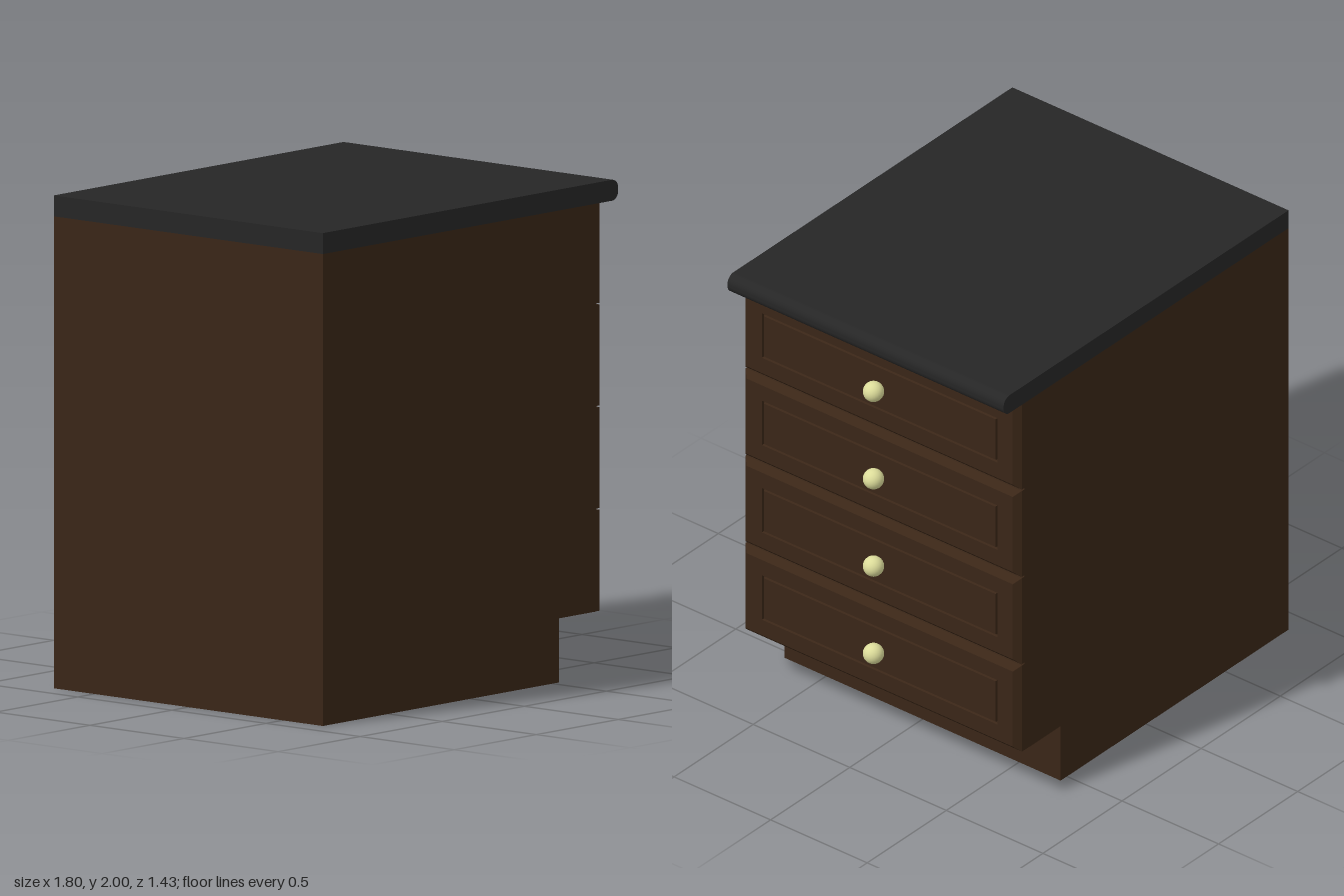
import * as THREE from 'three';

const WIDTH = 1.43; // along z
const wood = new THREE.MeshStandardMaterial({ color: 0x3a2617 });
const stone = new THREE.MeshStandardMaterial({ color: 0x262626 });
const brass = new THREE.MeshStandardMaterial({ color: 0xdcdc9a });

function add(parent, name, geometry, material) {
  const mesh = new THREE.Mesh(geometry, material);
  mesh.name = name;
  parent.add(mesh);
  return mesh;
}

// Side profile (x, y) extruded across the cabinet's width
function extrudeAcross(shape) {
  return new THREE.ExtrudeGeometry(shape, { depth: WIDTH, bevelEnabled: false, curveSegments: 8 })
    .translate(0, 0, -WIDTH / 2);
}

// Nested rectangles [x, halfZ, halfY] joined in sequence, closed at both ends
function nestedRectangles(rings) {
  const loops = rings.map(([x, z, y]) => [[x, -y, z], [x, -y, -z], [x, y, -z], [x, y, z]]);
  const positions = [];
  const quad = (a, b, c, d) => positions.push(...[a, b, c, a, c, d].flat());
  for (let i = 0; i < loops.length - 1; i++) {
    for (let k = 0; k < 4; k++) {
      const n = (k + 1) % 4;
      quad(loops[i][k], loops[i][n], loops[i + 1][n], loops[i + 1][k]);
    }
  }
  quad(...loops[loops.length - 1]);
  quad(...[...loops[0]].reverse());
  const geometry = new THREE.BufferGeometry();
  geometry.setAttribute('position', new THREE.Float32BufferAttribute(positions, 3));
  geometry.computeVertexNormals();
  return geometry;
}

export function createModel() {
  const model = new THREE.Group();
  model.name = 'drawerCabinet';

  // Carcass with a toe kick below the drawers
  const side = new THREE.Shape();
  side.moveTo(-0.9, 0);
  side.lineTo(0.54, 0);
  side.lineTo(0.54, 0.26);
  side.lineTo(0.767, 0.26);
  side.lineTo(0.767, 1.915);
  side.lineTo(-0.9, 1.915);
  side.closePath();
  add(model, 'carcass', extrudeAcross(side), wood);

  // Countertop with a rounded front edge
  const r = 0.038;
  const slab = new THREE.Shape();
  slab.moveTo(-0.9, 1.915);
  slab.lineTo(0.9 - r, 1.915);
  slab.absarc(0.9 - r, 1.915 + r, r, -Math.PI / 2, 0, false);
  slab.absarc(0.9 - r, 2 - r, r, 0, Math.PI / 2, false);
  slab.lineTo(-0.9, 2);
  slab.closePath();
  add(model, 'countertop', extrudeAcross(slab), stone);

  // Bevelled drawer front with a thin groove around its centre panel
  const pitch = 0.4165;
  const halfZ = WIDTH / 2, halfY = 0.205;
  const frontGeometry = nestedRectangles([
    [0.76, halfZ, halfY],
    [0.785, halfZ, halfY],
    [0.811, halfZ - 0.026, halfY - 0.026],
    [0.811, 0.61, 0.106],
    [0.801, 0.608, 0.104],
    [0.801, 0.602, 0.098],
    [0.811, 0.6, 0.096],
  ]);
  const knobGeometry = new THREE.SphereGeometry(0.043, 24, 16);
  const stemGeometry = new THREE.CylinderGeometry(0.02, 0.02, 0.04, 16).rotateZ(Math.PI / 2);

  for (let i = 0; i < 4; i++) {
    const drawer = new THREE.Group();
    drawer.name = 'drawer' + (i + 1);
    drawer.position.y = 0.466 + i * pitch;
    add(drawer, 'drawerFront', frontGeometry, wood);
    add(drawer, 'knob', knobGeometry, brass).position.set(0.85, 0.003, 0);
    add(drawer, 'knobStem', stemGeometry, brass).position.set(0.825, 0.003, 0);
    model.add(drawer);
  }
  return model;
}
